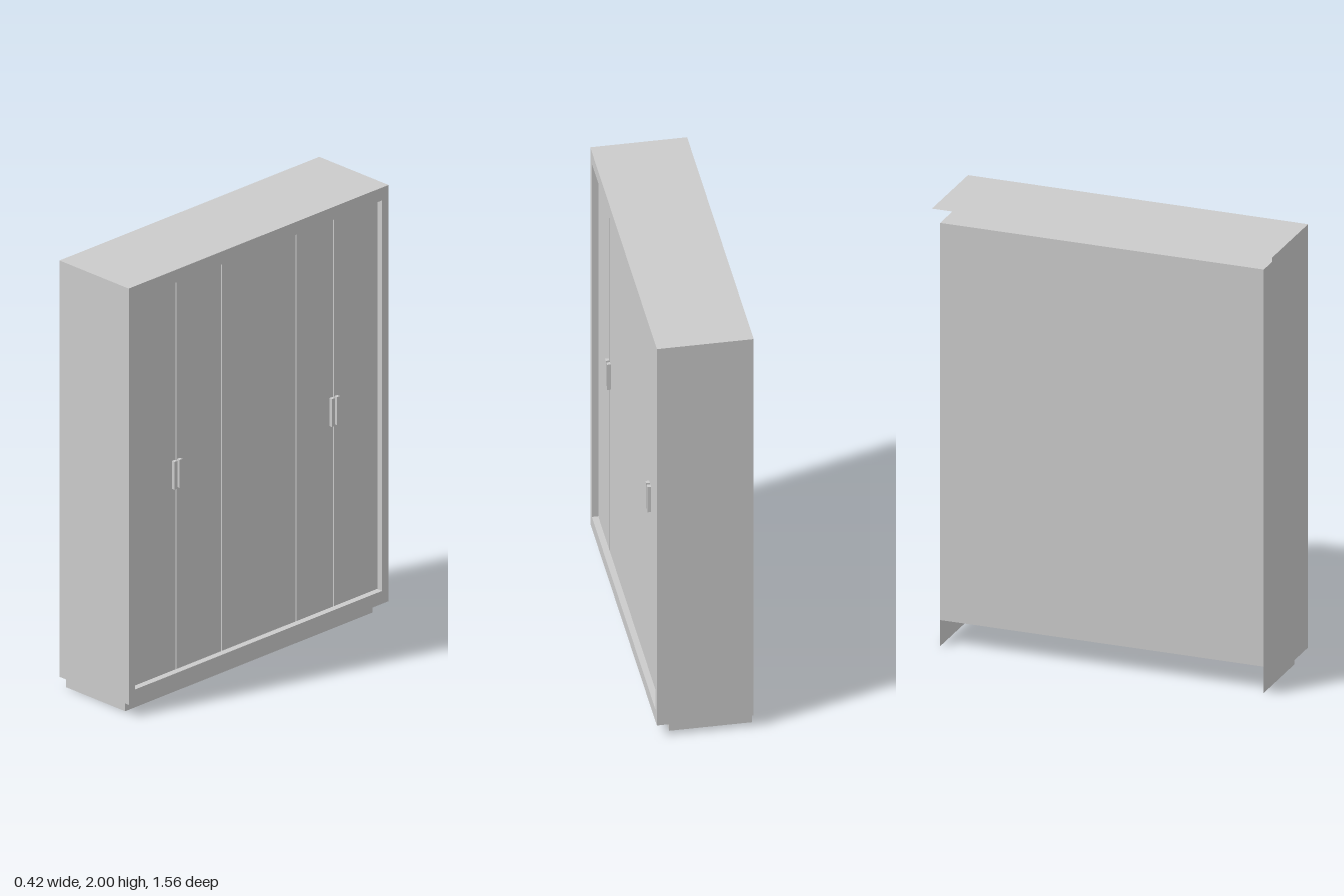
import * as THREE from 'three';

const grey = new THREE.MeshStandardMaterial({ color: 0xcccccc, flatShading: true });
const thin = new THREE.MeshStandardMaterial({ color: 0xcccccc, flatShading: true, side: THREE.DoubleSide });

// main dimensions: the doors face +x
const BACK = -0.21, FRONT = 0.21, DOOR = 0.183, TOE = 0.15;
const HALF = 0.78, INNER = 0.742;
const BASE = 0.06, SILL = 0.12, HEAD = 1.94, TOP = 2;

const TURN = {
  '+x': [0, Math.PI / 2], '-x': [0, -Math.PI / 2],
  '+z': [0, 0], '-z': [0, Math.PI],
  '+y': [-Math.PI / 2, 0], '-y': [Math.PI / 2, 0],
};

export function createModel() {
  const model = new THREE.Group();

  const add = (name, geometry, x = 0, y = 0, z = 0, material = grey) => {
    const mesh = new THREE.Mesh(geometry, material);
    mesh.name = name;
    mesh.position.set(x, y, z);
    model.add(mesh);
    return mesh;
  };

  // solid block given by its limits
  const block = (name, x0, x1, y0, y1, z0, z1) =>
    add(name, new THREE.BoxGeometry(x1 - x0, y1 - y0, z1 - z0),
      (x0 + x1) / 2, (y0 + y1) / 2, (z0 + z1) / 2);

  // flat sheet facing one axis; w is the horizontal run, h the other one
  const sheet = (name, facing, w, h, x, y, z, material = grey) => {
    const mesh = add(name, new THREE.PlaneGeometry(w, h), x, y, z, material);
    mesh.rotation.set(TURN[facing][0], TURN[facing][1], 0);
  };

  // outer shell, open at the back
  const depth = FRONT - BACK, midY = (BASE + TOP) / 2;
  sheet('topPanel', '+y', depth, HALF * 2, 0, TOP, 0);
  sheet('leftEndPanel', '+z', depth, TOP - BASE, 0, midY, HALF);
  sheet('rightEndPanel', '-z', depth, TOP - BASE, 0, midY, -HALF);

  // front frame around the door opening
  const rect = (P, a, y0, y1) => {
    const p = new P();
    p.moveTo(-a, y0);
    p.lineTo(a, y0);
    p.lineTo(a, y1);
    p.lineTo(-a, y1);
    p.closePath();
    return p;
  };
  const frame = rect(THREE.Shape, HALF, BASE, TOP);
  frame.holes.push(rect(THREE.Path, INNER, SILL, HEAD));
  add('frontFrame', new THREE.ShapeGeometry(frame), FRONT).rotation.y = Math.PI / 2;

  // reveals between the frame and the recessed doors
  const reveal = FRONT - DOOR + 0.02, revealX = FRONT - reveal / 2;
  sheet('sillReveal', '+y', reveal, INNER * 2, revealX, SILL, 0, thin);
  sheet('headReveal', '-y', reveal, INNER * 2, revealX, HEAD, 0, thin);
  for (const s of [1, -1])
    sheet('jambReveal', s > 0 ? '-z' : '+z', reveal, HEAD - SILL, revealX, (SILL + HEAD) / 2, s * INNER, thin);

  // inner cabinet, with its back flush to the rear edge
  block('innerCabinet', BACK, DOOR - 0.018, SILL, HEAD, -INNER, INNER);

  // underside of the overhang around the plinth
  sheet('frontOverhang', '-y', FRONT - TOE, HALF * 2, (FRONT + TOE) / 2, BASE, 0);
  for (const s of [1, -1])
    sheet('endOverhang', '-y', TOE - BACK, HALF - INNER, (TOE + BACK) / 2, BASE, s * (HALF + INNER) / 2);

  // plinth of thin boards, open at the back and below
  sheet('plinthFront', '+x', INNER * 2, SILL, TOE, SILL / 2, 0, thin);
  for (const s of [1, -1])
    sheet('plinthEnd', '+z', TOE - BACK, SILL, (TOE + BACK) / 2, SILL / 2, s * INNER, thin);

  // two pairs of doors with a fixed panel between them
  const seams = [INNER, 0.47, 0.195, -0.25, -0.475, -INNER];
  const gap = 0.003;
  for (let i = 0; i < 5; i++)
    block(i === 2 ? 'centrePanel' : 'door', DOOR - 0.018, DOOR, SILL + 0.002, HEAD - 0.002,
      seams[i + 1] + gap, seams[i] - gap);

  // a handle on each side of both door seams
  for (const z of [0.47, -0.475])
    for (const s of [1, -1])
      block('handle', DOOR, DOOR + 0.016, 0.97, 1.1, z + s * 0.015 - 0.009, z + s * 0.015 + 0.009);

  return model;
}
